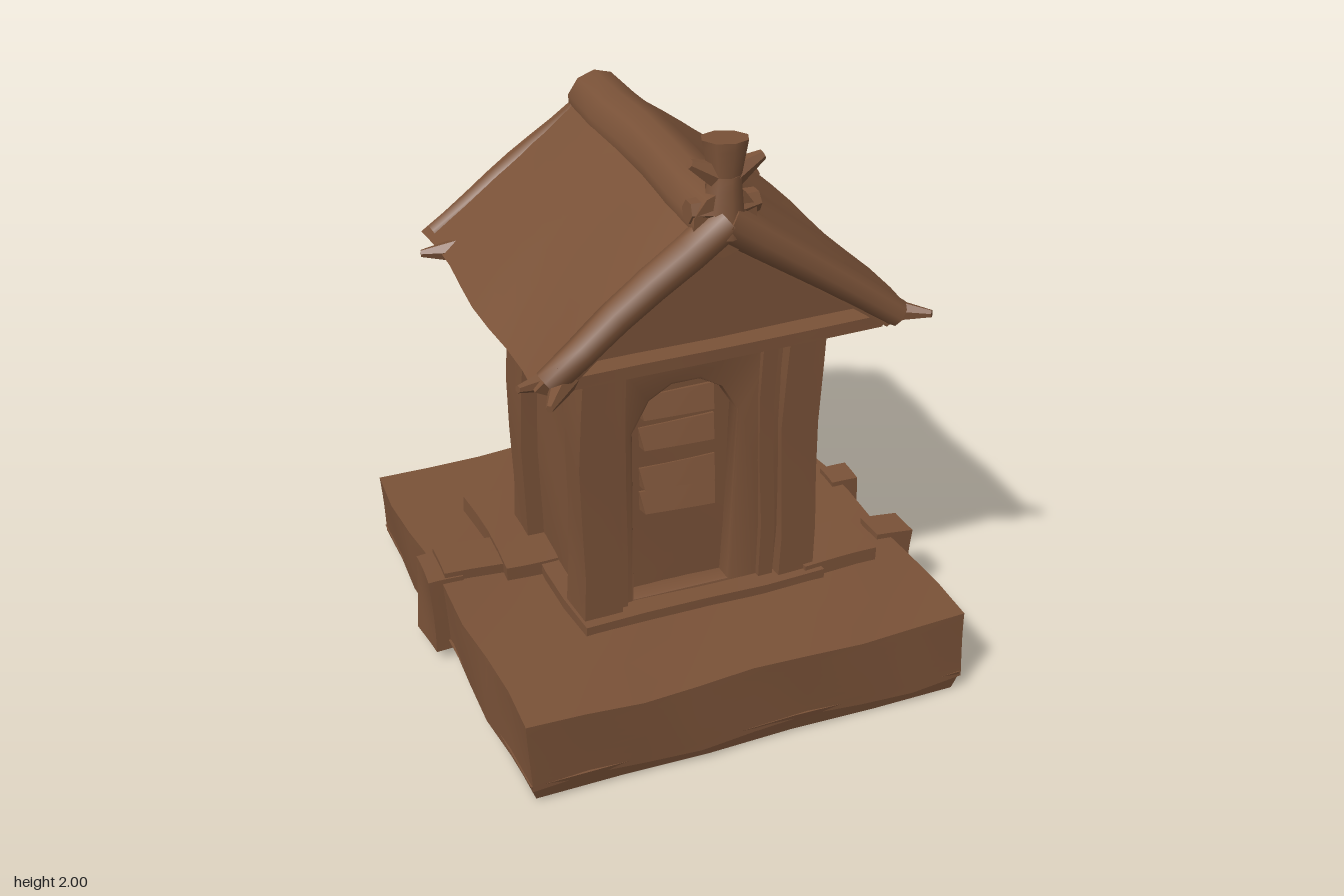
import * as THREE from 'three';
import { toCreasedNormals } from 'three/addons/utils/BufferGeometryUtils.js';

const wood = new THREE.MeshStandardMaterial({ color: 0x7a5238 });
wood.name = 'brown wood';

// Gentle hand-carved unevenness, a function of position so that seams stay closed
function carve(geometry, amount) {
  const p = geometry.attributes.position;
  for (let i = 0; i < p.count; i++) {
    const x = p.getX(i), y = p.getY(i), z = p.getZ(i);
    p.setXYZ(i,
      x + amount * Math.sin(7 * y + 9 * z + 1),
      y + amount * 0.6 * Math.sin(8 * x + 6 * z + 2),
      z + amount * Math.sin(9 * x + 7 * y + 3));
  }
  return geometry;
}

function add(parent, name, geometry, amount = 0.006, crease = 0.7) {
  const mesh = new THREE.Mesh(toCreasedNormals(carve(geometry, amount), crease), wood);
  mesh.name = name;
  parent.add(mesh);
  return mesh;
}

// Six-sided block from corners: bottom then top, each back-left, back-right, front-right, front-left in x/z
function block(c, n = 5) {
  const g = new THREE.BoxGeometry(1, 1, 1, n, n, n);
  const v = c.map(a => new THREE.Vector3(...a));
  const p = g.attributes.position;
  for (let i = 0; i < p.count; i++) {
    const u = p.getX(i) + 0.5, h = p.getY(i) + 0.5, w = p.getZ(i) + 0.5;
    const level = k => v[k].clone().lerp(v[k + 1], u).lerp(v[k + 3].clone().lerp(v[k + 2], u), w);
    const q = level(0).lerp(level(4), h);
    p.setXYZ(i, q.x, q.y, q.z);
  }
  return g;
}

// Upright box by its limits
function box(x0, x1, y0, y1, z0, z1, n = 4) {
  const ring = y => [[x0, y, z0], [x1, y, z0], [x1, y, z1], [x0, y, z1]];
  return block([...ring(y0), ...ring(y1)], n);
}

// Round beam between two points
function beam(a, b, r0, r1, sides = 8) {
  const s = new THREE.Vector3(...a), e = new THREE.Vector3(...b);
  const d = e.clone().sub(s);
  const g = new THREE.CylinderGeometry(r1, r0, d.length(), sides, 5);
  g.applyQuaternion(new THREE.Quaternion().setFromUnitVectors(new THREE.Vector3(0, 1, 0), d.normalize()));
  const m = s.add(e).multiplyScalar(0.5);
  return g.translate(m.x, m.y, m.z);
}

export function createModel() {
  const model = new THREE.Group();
  model.name = 'woodenShrine';

  // Plinth with softened lower edge
  const base = new THREE.Group();
  base.name = 'base';
  model.add(base);
  add(base, 'plinth', block([
    [-0.77, 0.06, -0.77], [0.70, 0.06, -0.80], [0.73, 0.06, 0.79], [-0.76, 0.06, 0.79],
    [-0.78, 0.28, -0.77], [0.71, 0.28, -0.81], [0.74, 0.31, 0.79], [-0.76, 0.31, 0.80]], 8), 0.01);
  add(base, 'plinthFoot', block([
    [-0.72, 0.008, -0.74], [0.66, 0.008, -0.76], [0.71, 0.008, 0.77], [-0.74, 0.015, 0.77],
    [-0.77, 0.08, -0.77], [0.70, 0.08, -0.80], [0.73, 0.08, 0.79], [-0.76, 0.08, 0.79]]), 0.003);
  // Brackets clasping the plinth sides: x limits, y limits, z limits
  [
    [-0.82, -0.70, 0.04, 0.31, -0.19, -0.02],
    [0.68, 0.775, 0.06, 0.31, -0.17, -0.06],
    [0.68, 0.81, 0.06, 0.32, 0.19, 0.30],
  ].forEach(l => add(base, 'sideBracket', box(...l), 0.012));
  // Low flat stones around the walls
  [
    [-0.76, -0.40, 0.27, 0.33, -0.19, -0.03],
    [-0.56, -0.38, 0.28, 0.345, -0.44, 0.02],
    [0.34, 0.61, 0.28, 0.35, 0.20, 0.40],
    [0.34, 0.60, 0.27, 0.345, -0.46, -0.24],
    [-0.44, 0.40, 0.27, 0.335, -0.30, 0.42],
  ].forEach(l => add(base, 'flatStone', box(...l), 0.008));

  // Walls
  const body = new THREE.Group();
  body.name = 'body';
  model.add(body);
  add(body, 'walls', box(-0.38, 0.34, 0.28, 1.30, -0.245, 0.285, 8));

  // Corner posts, leaning slightly
  const post = (x0, x1, z0, z1, lean) => add(body, 'cornerPost', block([
    [x0 - lean, 0.29, z0], [x1 - lean, 0.29, z0], [x1 - lean, 0.29, z1], [x0 - lean, 0.29, z1],
    [x0, 1.29, z0], [x1, 1.29, z0], [x1, 1.29, z1], [x0, 1.29, z1]]), 0.008);
  post(-0.42, -0.29, 0.24, 0.385, 0.01);
  post(0.27, 0.395, 0.24, 0.385, 0.02);
  post(-0.43, -0.30, -0.275, -0.14, 0.01);
  post(0.27, 0.40, -0.275, -0.14, 0.01);

  // Front panel with an arched doorway
  const panel = new THREE.Shape();
  panel.moveTo(-0.32, 0.3).lineTo(0.29, 0.3).lineTo(0.29, 1.27).lineTo(-0.32, 1.27);
  const arch = new THREE.Path();
  arch.moveTo(-0.25, 0.33).lineTo(-0.25, 0.97).lineTo(-0.19, 1.08).lineTo(-0.11, 1.125)
    .lineTo(-0.01, 1.125).lineTo(0.07, 1.08).lineTo(0.13, 0.98).lineTo(0.10, 0.33);
  panel.holes.push(arch);
  add(body, 'doorFrame', new THREE.ExtrudeGeometry(panel,
    { depth: 0.06, bevelEnabled: true, bevelSize: 0.012, bevelThickness: 0.012, bevelSegments: 2 })
    .translate(0, 0, 0.275), 0.003);
  add(body, 'frontJamb', box(0.19, 0.24, 0.3, 1.25, 0.30, 0.365), 0.006);
  add(body, 'frontJamb', box(-0.30, -0.27, 0.3, 1.24, 0.30, 0.365), 0.004);
  add(body, 'doorLintel', box(-0.3, 0.24, 1.20, 1.27, 0.30, 0.365), 0.004);
  // Louvres in the doorway
  [0.64, 0.73, 0.88, 0.99].forEach(y => add(body, 'doorSlat', block([
    [-0.20, y, 0.27], [0.06, y - 0.01, 0.27], [0.05, y - 0.01, 0.32], [-0.19, y, 0.32],
    [-0.20, y + 0.07, 0.27], [0.06, y + 0.07, 0.27], [0.06, y + 0.07, 0.292], [-0.20, y + 0.07, 0.292]]), 0.003));
  // Headers over the side panels and under the eaves
  [-0.405, 0.335].forEach(x => add(body, 'sideHeader', box(x, x + 0.045, 1.11, 1.28, -0.2, 0.3), 0.004));
  add(body, 'topPlate', box(-0.49, 0.43, 1.245, 1.33, -0.32, 0.42), 0.006);

  // Roof
  const roof = new THREE.Group();
  roof.name = 'roof';
  model.add(roof);
  const gable = new THREE.Shape();
  gable.moveTo(-0.57, 1.31).lineTo(0.49, 1.31).lineTo(-0.04, 1.72);
  add(roof, 'gable', new THREE.ExtrudeGeometry(gable, { depth: 0.86, steps: 4, bevelEnabled: false })
    .translate(0, 0, -0.36), 0.004);
  add(roof, 'frontTieBeam', box(-0.56, 0.49, 1.305, 1.345, 0.44, 0.57), 0.004);
  add(roof, 'backTieBeam', box(-0.54, 0.47, 1.305, 1.345, -0.43, -0.34), 0.004);

  // Roof slopes, wider at the eaves than at the ridge
  add(roof, 'rightSlope', block([
    [-0.57, 1.305, -0.49], [-0.04, 1.69, -0.44], [-0.04, 1.69, 0.55], [-0.57, 1.305, 0.60],
    [-0.635, 1.355, -0.51], [-0.06, 1.82, -0.45], [-0.06, 1.82, 0.56], [-0.645, 1.355, 0.62]], 8), 0.009);
  add(roof, 'leftSlope', block([
    [-0.04, 1.69, -0.44], [0.50, 1.305, -0.51], [0.50, 1.305, 0.58], [-0.04, 1.69, 0.55],
    [-0.02, 1.82, -0.45], [0.565, 1.36, -0.53], [0.575, 1.36, 0.59], [-0.02, 1.82, 0.56]], 8), 0.009);
  // Rounded verge beams and ridge log
  [[-0.60, 1.355], [0.53, 1.355]].forEach(([x, y]) => {
    add(roof, 'frontVerge', beam([-0.04, 1.765, 0.56], [x, y, 0.59], 0.062, 0.045), 0.006, 1);
    add(roof, 'backVerge', beam([-0.04, 1.765, -0.42], [x, y, -0.47], 0.055, 0.04), 0.006, 1);
  });
  add(roof, 'ridgeLog', beam([-0.045, 1.75, -0.455], [-0.045, 1.76, 0.58], 0.10, 0.105, 10), 0.006, 1);

  // Pointed eave corners: root, tip
  [
    [[-0.54, 1.35, 0.57], [-0.63, 1.34, 0.70]],
    [[-0.55, 1.35, 0.55], [-0.69, 1.365, 0.60]],
    [[0.50, 1.35, 0.54], [0.62, 1.36, 0.64]],
    [[-0.56, 1.36, -0.32], [-0.69, 1.355, -0.35]],
  ].forEach(([a, b]) => add(roof, 'eaveTip', beam(a, b, 0.045, 0.012, 6), 0.003, 1));

  // Ridge finial with a flared collar and two side points
  const finial = new THREE.Group();
  finial.name = 'finial';
  roof.add(finial);
  add(finial, 'finialPost', beam([-0.04, 1.72, 0.545], [-0.035, 1.90, 0.545], 0.075, 0.05), 0.004, 1);
  add(finial, 'finialHead', beam([-0.035, 1.86, 0.545], [-0.03, 2.0, 0.53], 0.045, 0.072), 0.003, 1);
  [[-0.145, 1.945], [0.085, 1.935]].forEach(([x, y]) =>
    add(finial, 'finialPoint', beam([-0.03, 1.88, 0.54], [x, y, 0.545], 0.05, 0.015, 6), 0.002, 1));
  [[-0.15, 1.80], [0.07, 1.80]].forEach(([x, y]) =>
    add(finial, 'finialFoot', beam([-0.04, 1.79, 0.545], [x, y, 0.545], 0.05, 0.035, 6), 0.003, 1));

  return model;
}
